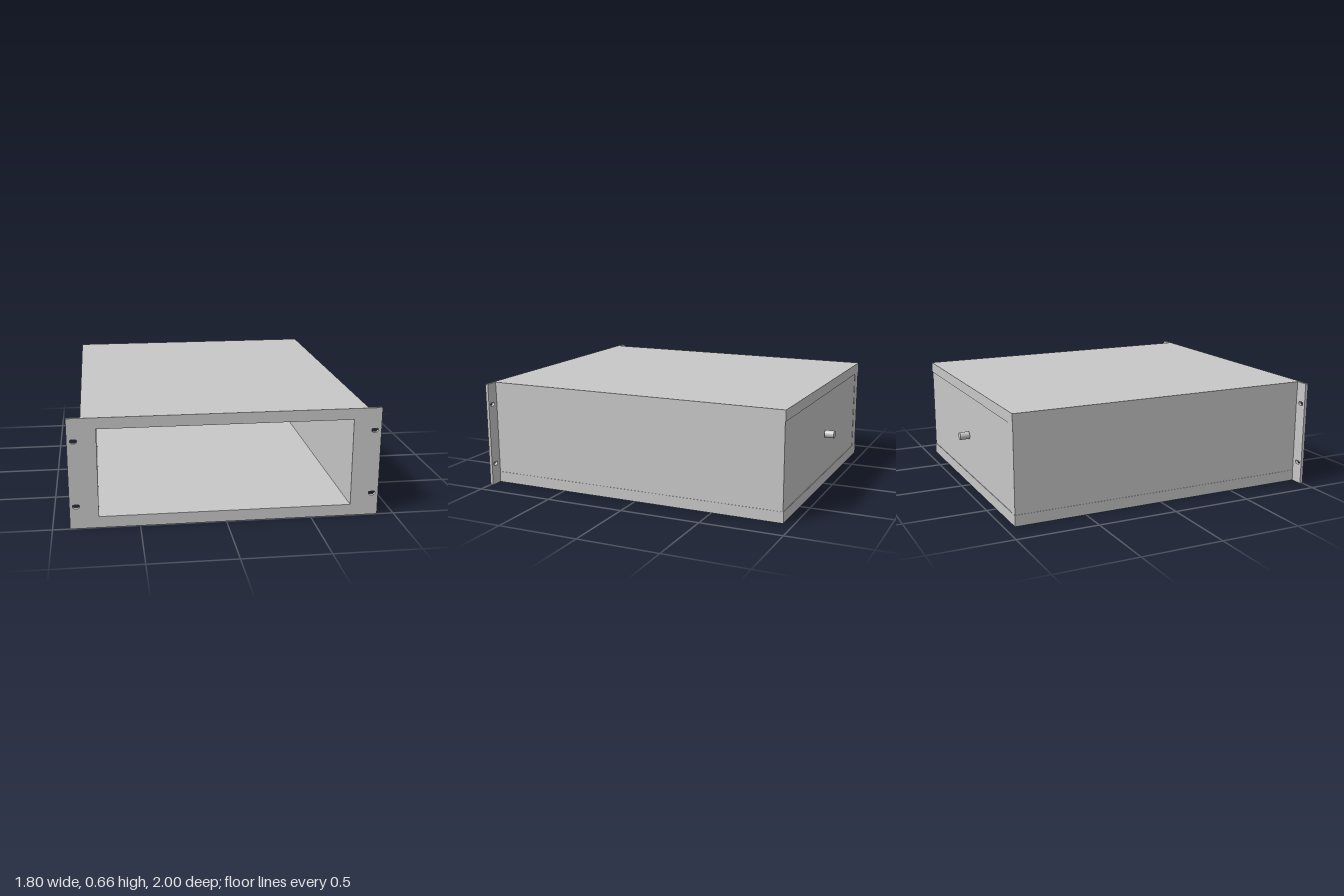
import * as THREE from 'three';

const W = 0.82, H = 0.656;            // case half width and height
const IN = 0.735, LOW = 0.068, HIGH = 0.59; // cavity half width, floor and ceiling
const BACK = -0.94, FACE = 0.981, FRONT = 1;
const SEAM = 0.002;                   // walls sit this far inside the top and bottom

export function createModel() {
  const group = new THREE.Group();
  const grey = new THREE.MeshStandardMaterial({ color: 0xc8c8c8 });
  grey.name = 'light grey metal';

  const add = (name, geometry) => {
    const mesh = new THREE.Mesh(geometry, grey);
    mesh.name = name;
    group.add(mesh);
    return mesh;
  };

  // Box given by its two opposite corners
  const slab = (name, x0, x1, y0, y1, z0, z1) =>
    add(name, new THREE.BoxGeometry(x1 - x0, y1 - y0, z1 - z0))
      .position.set((x0 + x1) / 2, (y0 + y1) / 2, (z0 + z1) / 2);

  // Case: bottom, top, two sides and back around an open cavity
  slab('bottom', -W, W, 0, LOW, BACK, FACE);
  slab('top', -W, W, HIGH, H, BACK, FACE);
  slab('rightWall', -W + SEAM, -IN, LOW, HIGH, BACK + SEAM, FACE);
  slab('leftWall', IN, W - SEAM, LOW, HIGH, BACK + 0.085, FACE);
  slab('backWall', -IN, W - SEAM, LOW, HIGH, BACK + 2 * SEAM, BACK + 0.085);

  // Front plate with mounting ears, large opening and four slots
  const rect = (path, x0, x1, y0, y1) =>
    path.moveTo(x0, y0).lineTo(x1, y0).lineTo(x1, y1).lineTo(x0, y1).closePath();
  const plate = rect(new THREE.Shape(), -0.9, 0.9, 0, H);
  plate.holes.push(rect(new THREE.Path(), -IN, IN, LOW, HIGH));
  // Each slot has a round bottom and a flattened top
  const r = 0.0135, half = 0.0065, flat = 0.8;
  for (const x of [-0.862, 0.862]) {
    for (const y of [0.135, 0.523]) {
      const slot = new THREE.Path();
      slot.absarc(x + half, y, r, -Math.PI / 2, flat, false);
      slot.absarc(x - half, y, r, Math.PI - flat, Math.PI * 1.5, false);
      slot.closePath();
      plate.holes.push(slot);
    }
  }
  add('frontPlate', new THREE.ExtrudeGeometry(plate, {
    depth: FRONT - FACE, bevelEnabled: false, curveSegments: 10,
  })).position.z = FACE;

  // Round stub on the back
  const stub = add('rearStub', new THREE.CylinderGeometry(0.024, 0.024, 0.06, 32));
  stub.rotation.x = Math.PI / 2;
  stub.position.set(0, 0.33, BACK - 0.03);

  return group;
}
